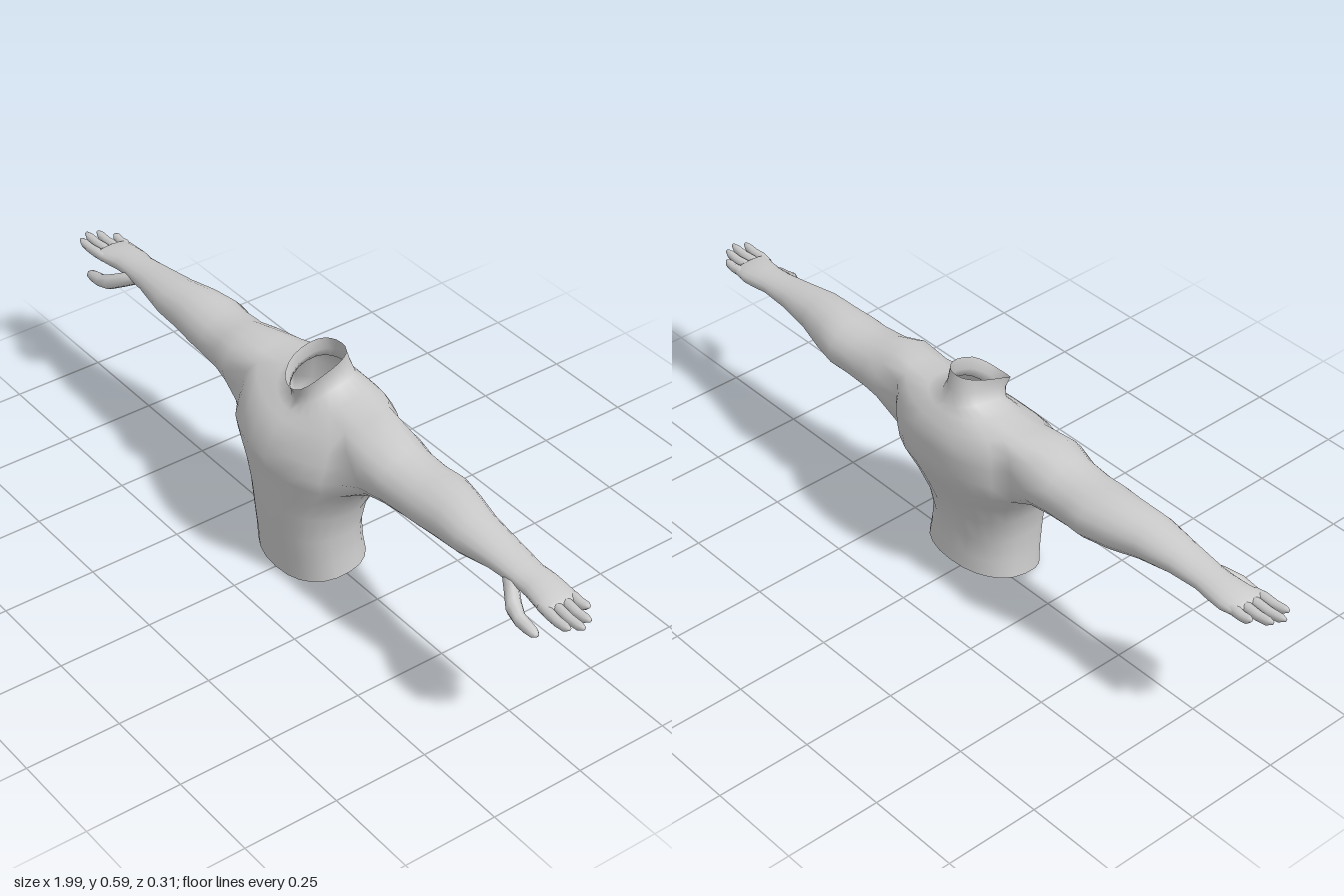
import * as THREE from 'three';
import { mergeGeometries, mergeVertices } from 'three/addons/utils/BufferGeometryUtils.js';

const material = new THREE.MeshStandardMaterial({ color: 0xcccccc, side: THREE.DoubleSide });

// Torso rows: y at front, side and back, half width, z front, z back
const TORSO = [
  [0.0, 0.028, 0.037, 0.154, 0.125, -0.097],
  [0.06, 0.075, 0.08, 0.149, 0.131, -0.091],
  [0.13, 0.145, 0.13, 0.148, 0.14, -0.087],
  [0.21, 0.215, 0.2, 0.16, 0.145, -0.1],
  [0.27, 0.275, 0.27, 0.19, 0.148, -0.125],
  [0.315, 0.33, 0.33, 0.232, 0.15, -0.15],
  [0.35, 0.37, 0.37, 0.236, 0.157, -0.156],
  [0.385, 0.42, 0.42, 0.235, 0.14, -0.157],
  [0.415, 0.465, 0.45, 0.23, 0.125, -0.15],
  [0.44, 0.502, 0.475, 0.2, 0.1, -0.135],
  [0.455, 0.507, 0.5, 0.115, 0.08, -0.115],
  [0.475, 0.522, 0.515, 0.065, 0.062, -0.1],
  [0.5, 0.545, 0.55, 0.053, 0.066, -0.088],
  [0.522, 0.573, 0.588, 0.058, 0.078, -0.075],
];

// Arm sections: x, y low, y high, z back, z front
const ARM = [
  [0.27, 0.338, 0.506, -0.108, 0.086],
  [0.33, 0.345, 0.489, -0.1, 0.071],
  [0.4, 0.352, 0.482, -0.1, 0.066],
  [0.45, 0.356, 0.484, -0.105, 0.066],
  [0.52, 0.36, 0.484, -0.09, 0.059],
  [0.6, 0.375, 0.475, -0.07, 0.06],
  [0.7, 0.393, 0.46, -0.058, 0.045],
  [0.78, 0.398, 0.447, -0.052, 0.038],
  [0.82, 0.393, 0.447, -0.056, 0.038],
  [0.86, 0.393, 0.44, -0.058, 0.044],
  [0.895, 0.4, 0.436, -0.055, 0.052],
  [0.905, 0.41, 0.428, -0.048, 0.046],
];

function makeGeometry(pos, index) {
  const g = new THREE.BufferGeometry();
  g.setAttribute('position', new THREE.Float32BufferAttribute(pos, 3));
  g.setIndex(index);
  return g;
}

// Appends one elliptical ring across the x axis and returns its vertex indices
function addRing(pos, n, [x, y0, y1, z0, z1]) {
  const ring = [];
  for (let k = 0; k < n; k++) {
    const a = -Math.PI / 4 - (k / n) * Math.PI * 2;
    ring.push(pos.length / 3);
    pos.push(x, (y0 + y1) / 2 + ((y1 - y0) / 2) * Math.sin(a), (z0 + z1) / 2 + ((z1 - z0) / 2) * Math.cos(a));
  }
  return ring;
}

function bridge(index, a, b) {
  const n = a.length;
  for (let k = 0; k < n; k++) {
    const m = (k + 1) % n;
    index.push(a[k], a[m], b[m], a[k], b[m], b[k]);
  }
}

// Lofts sections outwards from a starting ring and closes the end
function loft(pos, index, start, sections, n) {
  let ring = start;
  for (const s of sections) {
    const next = addRing(pos, n, s);
    if (ring) bridge(index, ring, next);
    ring = next;
  }
  const [x, y0, y1, z0, z1] = sections[sections.length - 1];
  const tip = pos.length / 3;
  pos.push(x + 0.003, (y0 + y1) / 2, (z0 + z1) / 2);
  ring.forEach((v, k) => index.push(v, ring[(k + 1) % n], tip));
}

function mirrored(g) {
  const m = g.clone().scale(-1, 1, 1);
  const ix = m.index.array;
  for (let i = 0; i < ix.length; i += 3) [ix[i], ix[i + 1]] = [ix[i + 1], ix[i]];
  return m;
}

// Half of the torso with a shoulder opening, from which the arm is lofted
function halfBody() {
  const pos = [], index = [], T = 12, r0 = 5, r1 = 9, t0 = 4, t1 = 8;
  const at = (r, t) => r * (T + 1) + t;
  for (const [yF, yS, yB, hw, zF, zB] of TORSO) {
    for (let t = 0; t <= T; t++) {
      const a = (t / T) * Math.PI, c = Math.cos(a);
      const y = yS + ((yF - yB) / 2) * c + ((yF + yB) / 2 - yS) * c * c;
      const x = t % T ? hw * Math.pow(Math.sin(a), 0.9) : 0;
      const z = (zF + zB) / 2 + ((zF - zB) / 2) * Math.sign(c) * Math.pow(Math.abs(c), 0.85);
      pos.push(x, y, z);
    }
  }
  for (let r = 0; r < TORSO.length - 1; r++) {
    for (let t = 0; t < T; t++) {
      if (r >= r0 && r < r1 && t >= t0 && t < t1) continue;
      index.push(at(r, t), at(r, t + 1), at(r + 1, t + 1), at(r, t), at(r + 1, t + 1), at(r + 1, t));
    }
  }
  const opening = [];
  for (let t = t0; t < t1; t++) opening.push(at(r0, t));
  for (let r = r0; r < r1; r++) opening.push(at(r, t1));
  for (let t = t1; t > t0; t--) opening.push(at(r1, t));
  for (let r = r1; r > r0; r--) opening.push(at(r, t0));
  loft(pos, index, opening, ARM, opening.length);
  return makeGeometry(pos, index);
}

// Finger or thumb along points of x, y, z, radius
function digit(points) {
  const pos = [], index = [];
  loft(pos, index, null, points.map(([x, y, z, r]) => [x, y - r, y + r, z - r, z + r]), 8);
  const g = makeGeometry(pos, index);
  g.computeVertexNormals();
  return g;
}

export function createModel() {
  const group = new THREE.Group();
  const add = (name, geometry) => {
    const mesh = new THREE.Mesh(geometry, material);
    mesh.name = name;
    group.add(mesh);
  };

  // Torso, neck, arms and palms as one skin
  const half = halfBody();
  const body = mergeVertices(mergeGeometries([half, mirrored(half)]), 1e-5);
  body.computeVertexNormals();
  add('torsoAndArms', body);

  // Digits: name, base z, tip z, tip x
  const digits = [
    ['IndexFinger', 0.038, 0.042, 0.98],
    ['MiddleFinger', 0.012, 0.015, 0.997],
    ['RingFinger', -0.014, -0.013, 0.985],
    ['LittleFinger', -0.04, -0.042, 0.948],
  ].map(([name, zb, zt, xt]) => {
    const points = [[0, 0.418, 0.011], [0.3, 0.419, 0.0135], [0.6, 0.417, 0.012], [0.87, 0.42, 0.011], [1, 0.424, 0.005]];
    return [name, digit(points.map(([s, y, r]) => [0.875 + (xt - 0.878) * s, y, zb + (zt - zb) * s, r]))];
  });
  digits.push(['Thumb', digit([
    [0.735, 0.418, 0.018, 0.014], [0.775, 0.403, 0.036, 0.022], [0.81, 0.386, 0.058, 0.023],
    [0.845, 0.376, 0.069, 0.017], [0.875, 0.373, 0.07, 0.015], [0.895, 0.37, 0.069, 0.012], [0.903, 0.369, 0.068, 0.006],
  ])]);
  for (const [name, g] of digits) {
    add('left' + name, g);
    add('right' + name, mirrored(g));
  }
  // Mirroring keeps the normals of each digit, so refresh them
  group.children.forEach((m) => m.geometry.computeVertexNormals());
  return group;
}
